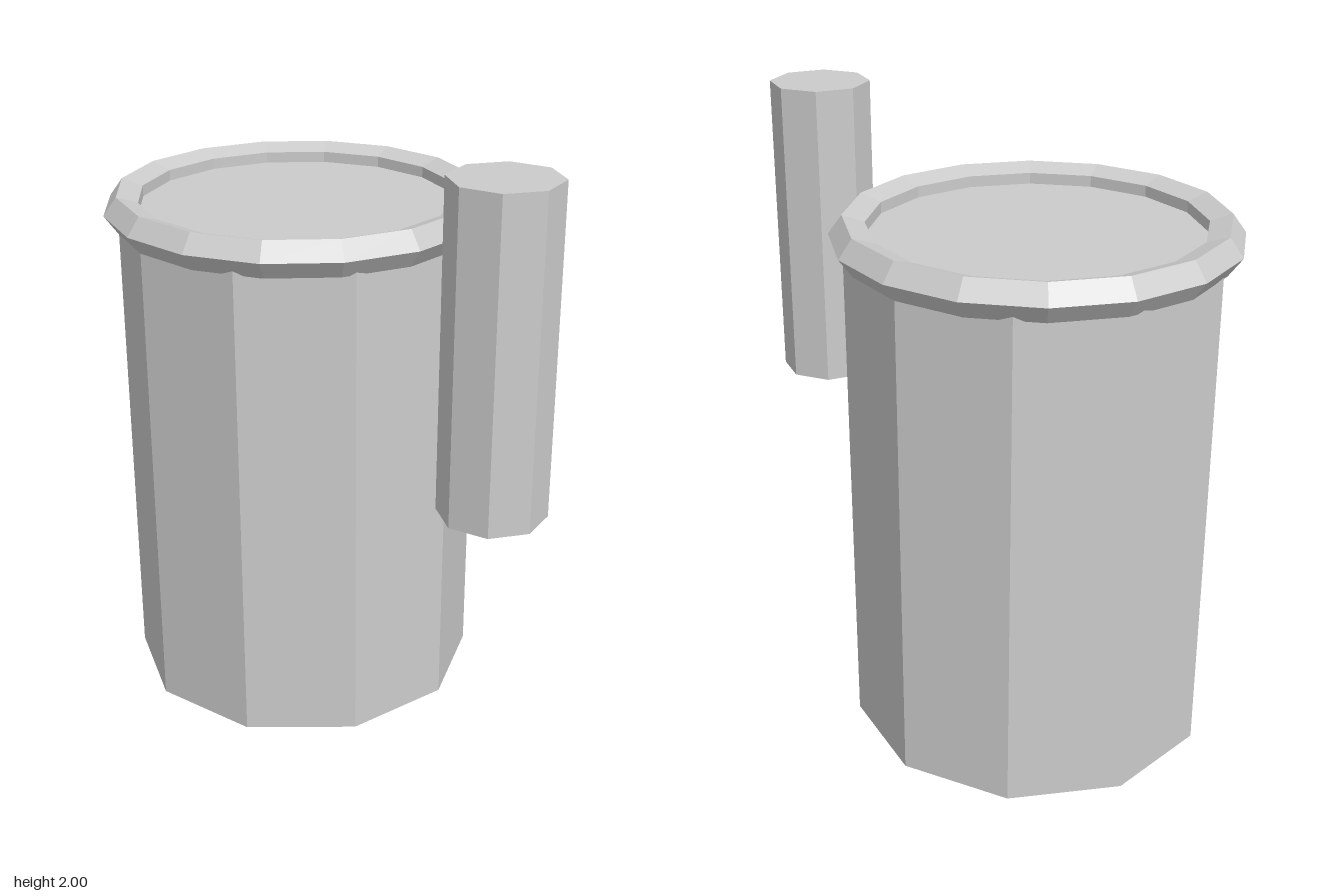
import * as THREE from 'three';

export function createModel() {
  const model = new THREE.Group();
  const material = new THREE.MeshStandardMaterial({ color: 0xcccccc, flatShading: true });

  const add = (name, geometry, x, y) => {
    const mesh = new THREE.Mesh(geometry, material);
    mesh.name = name;
    mesh.position.set(x, y, 0);
    model.add(mesh);
  };
  // closed prism standing between two heights
  const addPrism = (name, radius, sides, x, bottom, top) =>
    add(name, new THREE.CylinderGeometry(radius, radius, top - bottom, sides), x, (bottom + top) / 2);

  const bodyX = -0.268;
  const rimY = 1.69;

  // ten-sided body, its top lying at mid-height of the rim
  addPrism('body', 0.6, 10, bodyX, 0, rimY);

  // rim ring with a five-sided section
  add('rim', new THREE.TorusGeometry(0.58, 0.063, 5, 16).rotateX(Math.PI / 2), bodyX, rimY);

  // separate eight-sided handle beside the body
  addPrism('handle', 0.17, 8, 0.74, 0.96, 2);

  return model;
}
